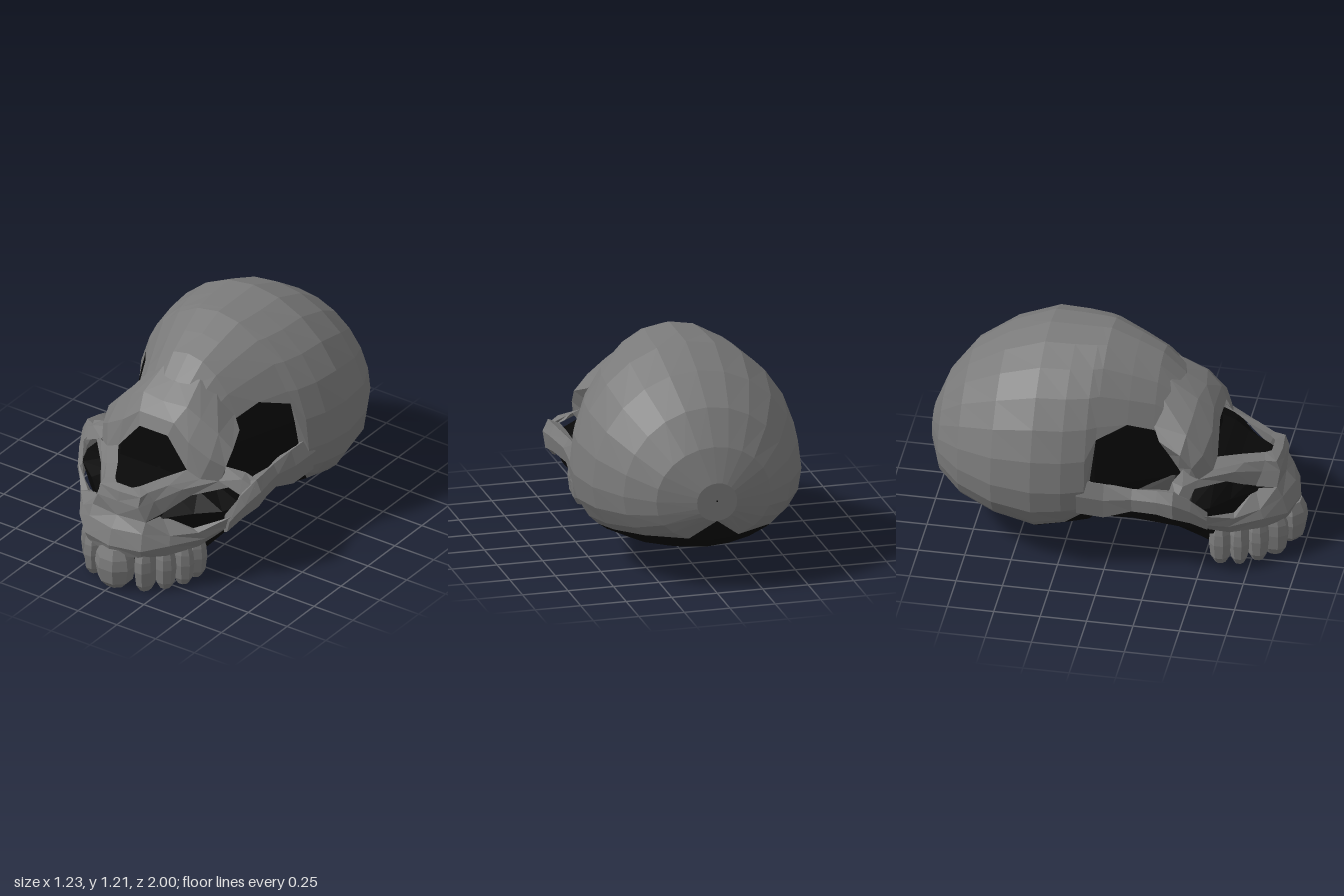
import * as THREE from 'three';

const bone = new THREE.MeshStandardMaterial({ color: 0x7a7a7a, flatShading: true, side: THREE.DoubleSide });
bone.name = 'bone grey';
const dark = new THREE.MeshStandardMaterial({ color: 0x080808, flatShading: true, side: THREE.DoubleSide });
dark.name = 'hollow black';

// Skin a surface over rows of points; closed rows become capped tubes. Faces are turned outward.
function skin(name, rows, material, closed = false) {
  const tris = [];
  const n = rows[0].length;
  for (let i = 0; i < rows.length - 1; i++) {
    for (let j = 0; j < (closed ? n : n - 1); j++) {
      const k = (j + 1) % n;
      const a = rows[i][j], b = rows[i][k], c = rows[i + 1][k], d = rows[i + 1][j];
      tris.push([a, b, c], [a, c, d]);
    }
  }
  if (closed) {
    const first = rows[0], last = rows[rows.length - 1];
    for (let j = 1; j < n - 1; j++) {
      tris.push([first[0], first[j + 1], first[j]], [last[0], last[j], last[j + 1]]);
    }
  }
  // signed volume about an inner point tells which way the faces look
  const ref = new THREE.Vector3(0, 0.4, 0.2);
  let volume = 0;
  for (const t of tris) {
    const [a, b, c] = t.map((p) => new THREE.Vector3(...p).sub(ref));
    volume += a.dot(b.cross(c));
  }
  const position = tris.flatMap(([a, b, c]) => (volume < 0 ? [a, c, b] : [a, b, c])).flat();
  const geometry = new THREE.BufferGeometry();
  geometry.setAttribute('position', new THREE.Float32BufferAttribute(position, 3));
  geometry.computeVertexNormals();
  const mesh = new THREE.Mesh(geometry, material);
  mesh.name = name;
  return mesh;
}

const flip = (rows) => rows.map((r) => r.map(([x, y, z]) => [-x, y, z]));

// Both halves of a part
function pair(group, name, rows, material, closed) {
  group.add(skin(name + 'Left', rows, material, closed));
  group.add(skin(name + 'Right', flip(rows), material, closed));
}

// Braincase stations: z, half width, top y, bottom y, lower edge of the bone
const MID = 0.52;
const CRANIUM = [
  [-1.0, 0.005, 0.525, 0.515, 0.515],
  [-1.0, 0.11, 0.62, 0.41, 0.41],
  [-0.93, 0.315, 0.8, 0.28, 0.3],
  [-0.8, 0.46, 0.98, 0.2, 0.295],
  [-0.6, 0.575, 1.12, 0.14, 0.27],
  [-0.38, 0.615, 1.21, 0.09, 0.23],
  [-0.22, 0.595, 1.21, 0.13, 0.25],
  [-0.1, 0.55, 1.21, 0.15, 0.37],
  [-0.05, 0.51, 1.21, 0.2, 0.8],
  [0.1, 0.43, 1.15, 0.25, 0.85],
  [0.23, 0.36, 1.09, 0.25, 0.8],
  [0.35, 0.31, 0.98, 0.25, 0.74],
  [0.5, 0.25, 0.77, 0.25, 0.77],
  [0.5, 0.01, 0.53, 0.5, 0.53],
];

// One arc of a station: evenly spaced angles, stopped at the edge between bone and hollow
function craniumArc([z, w, top, bottom, edge], lower) {
  const power = 0.85;
  const start = edge >= MID
    ? Math.asin(Math.min(1, (edge - MID) / (top - MID)))
    : -Math.asin(Math.min(1, Math.pow((MID - edge) / (MID - bottom), 1 / power)));
  const from = lower ? -Math.PI - start : start;
  const to = lower ? start : Math.PI - start;
  const row = [];
  for (let i = 0; i <= 24; i++) {
    const even = (lower ? -1.5 : -0.5) * Math.PI + (2 * Math.PI * i) / 24;
    const t = Math.min(to, Math.max(from, even));
    const s = Math.sin(t);
    const y = s >= 0 ? MID + (top - MID) * s : MID - (MID - bottom) * Math.pow(-s, power);
    row.push([w * Math.cos(t), y, z]);
  }
  return row;
}

// Dark inner mass behind the face: z, half width, half width of the base, top y, bottom y
const CORE = [
  [-0.15, 0.46, 0.2, 0.48, 0.14], [0.1, 0.45, 0.2, 0.5, 0.15], [0.35, 0.49, 0.22, 0.53, 0.14],
  [0.46, 0.505, 0.25, 0.52, 0.12], [0.56, 0.45, 0.28, 0.51, 0.1], [0.65, 0.33, 0.22, 0.5, 0.11],
  [0.78, 0.2, 0.14, 0.49, 0.12], [0.87, 0.11, 0.08, 0.47, 0.14],
];

// Brow columns from the middle outward, each running from forehead to lower rim
const BROW = [
  [[0, 0.99, 0.33], [0, 0.91, 0.46], [0, 0.84, 0.52], [0, 0.77, 0.55]],
  [[0.12, 1.0, 0.29], [0.14, 0.91, 0.44], [0.11, 0.84, 0.52], [0.09, 0.77, 0.55]],
  [[0.2, 0.95, 0.25], [0.22, 0.86, 0.43], [0.21, 0.76, 0.53], [0.22, 0.61, 0.56]],
  [[0.3, 0.82, 0.23], [0.32, 0.79, 0.41], [0.33, 0.68, 0.5], [0.3, 0.57, 0.55]],
  [[0.36, 0.76, 0.27], [0.4, 0.71, 0.39], [0.395, 0.63, 0.45], [0.38, 0.55, 0.48]],
  [[0.3, 0.75, 0.26], [0.33, 0.66, 0.32], [0.34, 0.59, 0.37], [0.36, 0.52, 0.42]],
];

// Nasal rim, from brow to snout tip, each row from the nose opening to the cheek opening
const NASAL = [
  [[0.22, 0.61, 0.56], [0.3, 0.575, 0.55], [0.38, 0.56, 0.49], [0.43, 0.525, 0.46]],
  [[0.14, 0.59, 0.68], [0.2, 0.575, 0.7], [0.26, 0.55, 0.66], [0.29, 0.505, 0.62]],
  [[0.08, 0.575, 0.79], [0.14, 0.56, 0.8], [0.17, 0.51, 0.79], [0.2, 0.43, 0.76]],
  [[0.05, 0.57, 0.82], [0.13, 0.555, 0.86], [0.13, 0.5, 0.88], [0.17, 0.42, 0.87]],
  [[0, 0.57, 0.82], [0, 0.555, 0.87], [0, 0.5, 0.88], [0, 0.42, 0.89]],
];

// Upper jaw band, from the middle front round to the cheek
const JAW = [
  [[0, 0.42, 0.89], [0, 0.36, 0.94], [0, 0.27, 0.97], [0, 0.2, 0.95], [0, 0.2, 0.84]],
  [[0.17, 0.42, 0.87], [0.17, 0.36, 0.9], [0.18, 0.27, 0.93], [0.17, 0.22, 0.91], [0.12, 0.2, 0.8]],
  [[0.2, 0.42, 0.76], [0.28, 0.34, 0.8], [0.29, 0.29, 0.82], [0.27, 0.22, 0.81], [0.18, 0.2, 0.74]],
  [[0.34, 0.345, 0.67], [0.38, 0.335, 0.68], [0.4, 0.29, 0.65], [0.36, 0.23, 0.65], [0.25, 0.2, 0.63]],
  [[0.46, 0.385, 0.55], [0.49, 0.4, 0.54], [0.48, 0.34, 0.53], [0.41, 0.27, 0.55], [0.36, 0.24, 0.55]],
];

// Small bone joining the brow to the cheek
const CHEEK = [
  [[0.36, 0.6, 0.4], [0.38, 0.56, 0.49], [0.43, 0.525, 0.46]],
  [[0.46, 0.58, 0.36], [0.48, 0.57, 0.42], [0.49, 0.5, 0.46]],
  [[0.54, 0.55, 0.35], [0.55, 0.53, 0.4], [0.52, 0.47, 0.46]],
];

// Cheek arch stations: z, inner x, outer x, bottom y, top y
const ARCH = [
  [0.55, 0.455, 0.49, 0.3, 0.41], [0.47, 0.485, 0.535, 0.36, 0.5], [0.38, 0.48, 0.575, 0.4, 0.57],
  [0.29, 0.47, 0.56, 0.41, 0.56], [0.15, 0.46, 0.525, 0.39, 0.535], [0, 0.45, 0.535, 0.34, 0.55],
  [-0.14, 0.46, 0.565, 0.37, 0.58],
];

// Teeth: x, z, half width, half depth
const TEETH = [
  [0, 0.905, 0.108, 0.095], [0.162, 0.855, 0.054, 0.075], [0.235, 0.78, 0.058, 0.058],
  [0.285, 0.69, 0.062, 0.052], [0.295, 0.59, 0.064, 0.06],
];

export function createModel() {
  const model = new THREE.Group();
  model.name = 'skull';

  // Braincase and its dark underside
  model.add(skin('braincase', CRANIUM.map((s) => craniumArc(s, false)), bone));
  model.add(skin('braincaseHollow', CRANIUM.map((s) => craniumArc(s, true)), dark));

  // Dark inner mass and palate
  const core = CORE.map(([z, w, base, top, bottom]) => {
    const half = [[w * 0.65, top, z], [w, top - 0.08, z], [w * 0.88, 0.29, z], [base, bottom, z]];
    return [...half, ...flip([half])[0].reverse()];
  });
  model.add(skin('innerHollow', core, dark, true));

  // Face bones
  pair(model, 'brow', BROW, bone);
  pair(model, 'nasalRim', NASAL, bone);
  pair(model, 'upperJaw', JAW, bone);
  pair(model, 'cheekBone', CHEEK, bone);

  // Cheek arches
  const arch = ARCH.map(([z, xi, xo, lo, hi]) => [
    [xi, lo, z], [xo - 0.015, lo + 0.01, z], [xo, (lo + hi) / 2 + 0.02, z], [xo - 0.03, hi, z], [xi, hi - 0.03, z],
  ]);
  pair(model, 'cheekArch', arch, bone, true);

  // Teeth
  const profile = [[0.001, 0.025], [0.5, 0.005], [0.85, 0.045], [1, 0.13], [0.92, 0.19], [0.68, 0.245], [0.001, 0.245]]
    .map(([r, y]) => new THREE.Vector2(r, y));
  const toothShape = new THREE.LatheGeometry(profile, 8, Math.PI / 8);
  TEETH.forEach(([x, z, w, d], i) => {
    for (const side of x ? [1, -1] : [1]) {
      const tooth = new THREE.Mesh(toothShape, bone);
      tooth.name = 'tooth' + (i + 1) + (x ? (side > 0 ? 'Left' : 'Right') : '');
      tooth.scale.set(w * 1.06, 1, d * 1.06);
      tooth.position.set(x * side, 0, z);
      model.add(tooth);
    }
  });
  return model;
}
